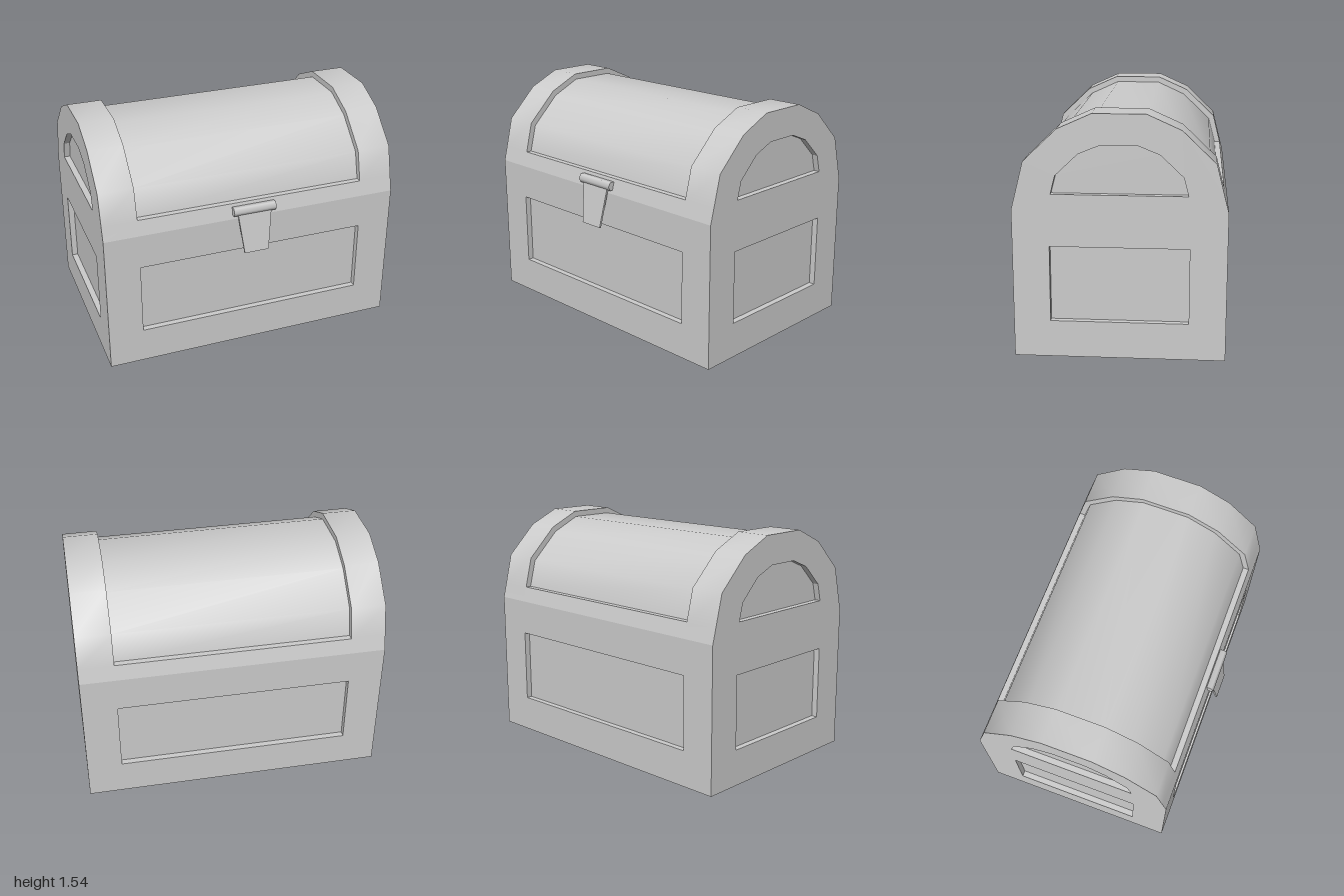
import * as THREE from 'three';

const grey = new THREE.MeshStandardMaterial({ color: 0xcccccc });
const W = 1, D = 0.66, SEAM = 0.95, SILL = 1.05, PX = 0.77, DEPTH = 0.04;

// Half profiles of the lid as [z, y], front edge to crown
const outerHalf = [[D, SEAM], [0.634, SILL], [0.583, 1.25], [0.375, 1.45], [0.163, 1.545]];
const innerHalf = [[0.595, SILL], [0.547, 1.229], [0.352, 1.416], [0.155, 1.506]];
const archHalf = [[0.418, SILL], [0.388, 1.165], [0.247, 1.3], [0.112, 1.355]];
const mirror = (half) => [...half, ...half.map(([a, b]) => [-a, b]).reverse()];
const rect = (hw, y0, y1) => [[-hw, y0], [hw, y0], [hw, y1], [-hw, y1]];
const vecs = (pts) => pts.map(([x, y]) => new THREE.Vector2(x, y));

function add(parent, name, geometry) {
  const mesh = new THREE.Mesh(geometry, grey);
  mesh.name = name;
  parent.add(mesh);
  return mesh;
}

// Band of quads between two matching rows of points
function loft(a, b, smooth) {
  const index = [];
  const n = a.length;
  for (let i = 0; i < n - 1; i++) index.push(i, n + i, n + i + 1, i, n + i + 1, i + 1);
  let g = new THREE.BufferGeometry();
  g.setAttribute('position', new THREE.Float32BufferAttribute([...a, ...b].flat(), 3));
  g.setIndex(index);
  if (!smooth) g = g.toNonIndexed();
  g.computeVertexNormals();
  return g;
}

const atX = (profile, x) => profile.map(([z, y]) => [x, y, z]);
const sweep = (profile, x0, x1) => loft(atX(profile, x0), atX(profile, x1), true);

// Flat face facing +z with sunken panels
function panelledFace(name, outline, holes) {
  const group = new THREE.Group();
  group.name = name;
  const shape = new THREE.Shape(vecs(outline));
  for (const hole of holes) {
    shape.holes.push(new THREE.Path(vecs(hole)));
    const loop = [...hole, hole[0]];
    add(group, 'panelEdge', loft(loop.map(([x, y]) => [x, y, -DEPTH]), loop.map(([x, y]) => [x, y, 0]), false));
    add(group, 'panel', new THREE.ShapeGeometry(new THREE.Shape(vecs(hole)))).position.z = -DEPTH;
  }
  add(group, 'frame', new THREE.ShapeGeometry(shape));
  return group;
}

export function createModel() {
  const model = new THREE.Group();
  model.name = 'chest';
  const chest = new THREE.Group();
  chest.name = 'body';
  chest.position.z = -0.027;
  model.add(chest);

  const outer = mirror(outerHalf), inner = mirror(innerHalf);

  // Front and back walls
  for (const s of [1, -1]) {
    const wall = panelledFace(s > 0 ? 'frontWall' : 'backWall', rect(W, 0, SEAM), [rect(PX, 0.237, 0.72)]);
    wall.position.z = s * D;
    wall.rotation.y = s > 0 ? 0 : Math.PI;
    chest.add(wall);
  }

  // End walls, body and lid in one outline
  for (const s of [1, -1]) {
    const outline = [[-D, 0], [D, 0], ...outer];
    const arch = mirror(archHalf);
    const end = panelledFace(s > 0 ? 'leftEnd' : 'rightEnd', outline, [rect(0.43, 0.237, 0.72), arch]);
    end.position.x = s * W;
    end.rotation.y = s * Math.PI / 2;
    chest.add(end);
  }

  add(chest, 'bottom', new THREE.PlaneGeometry(2 * W, 2 * D)).rotation.x = Math.PI / 2;

  // Lid: raised end bands, sunken middle, low rims front and back
  add(chest, 'rightLidBand', sweep(outer, -W, -PX));
  add(chest, 'leftLidBand', sweep(outer, PX, W));
  add(chest, 'lidPanel', sweep(inner, -PX, PX));
  add(chest, 'frontLidRim', sweep(outer.slice(0, 2), -PX, PX));
  add(chest, 'backLidRim', sweep(outer.slice(-2), -PX, PX));
  add(chest, 'frontLidLedge', sweep([outer[1], inner[0]], -PX, PX));
  add(chest, 'backLidLedge', sweep([inner.at(-1), outer.at(-2)], -PX, PX));
  const step = outer.slice(1, -1);
  add(chest, 'rightBandStep', loft(atX(step, -PX), atX(inner, -PX), false));
  add(chest, 'leftBandStep', loft(atX(inner, PX), atX(step, PX), false));

  // Latch: hexagonal bar with a tapered tongue hanging forward
  const latch = new THREE.Group();
  latch.name = 'latch';
  model.add(latch);
  const bar = add(latch, 'latchBar', new THREE.CylinderGeometry(0.032, 0.032, 0.29, 6));
  bar.rotation.z = Math.PI / 2;
  bar.position.set(0, 1.002, 0.63);
  const tongue = new THREE.Shape(vecs([[-0.083, -0.275], [0.083, -0.275], [0.115, 0], [-0.115, 0]]));
  const plate = add(latch, 'latchTongue', new THREE.ExtrudeGeometry(tongue, { depth: 0.013, bevelEnabled: false }));
  plate.position.set(0, 0.985, 0.634);
  plate.rotation.x = -0.165;

  return model;
}
